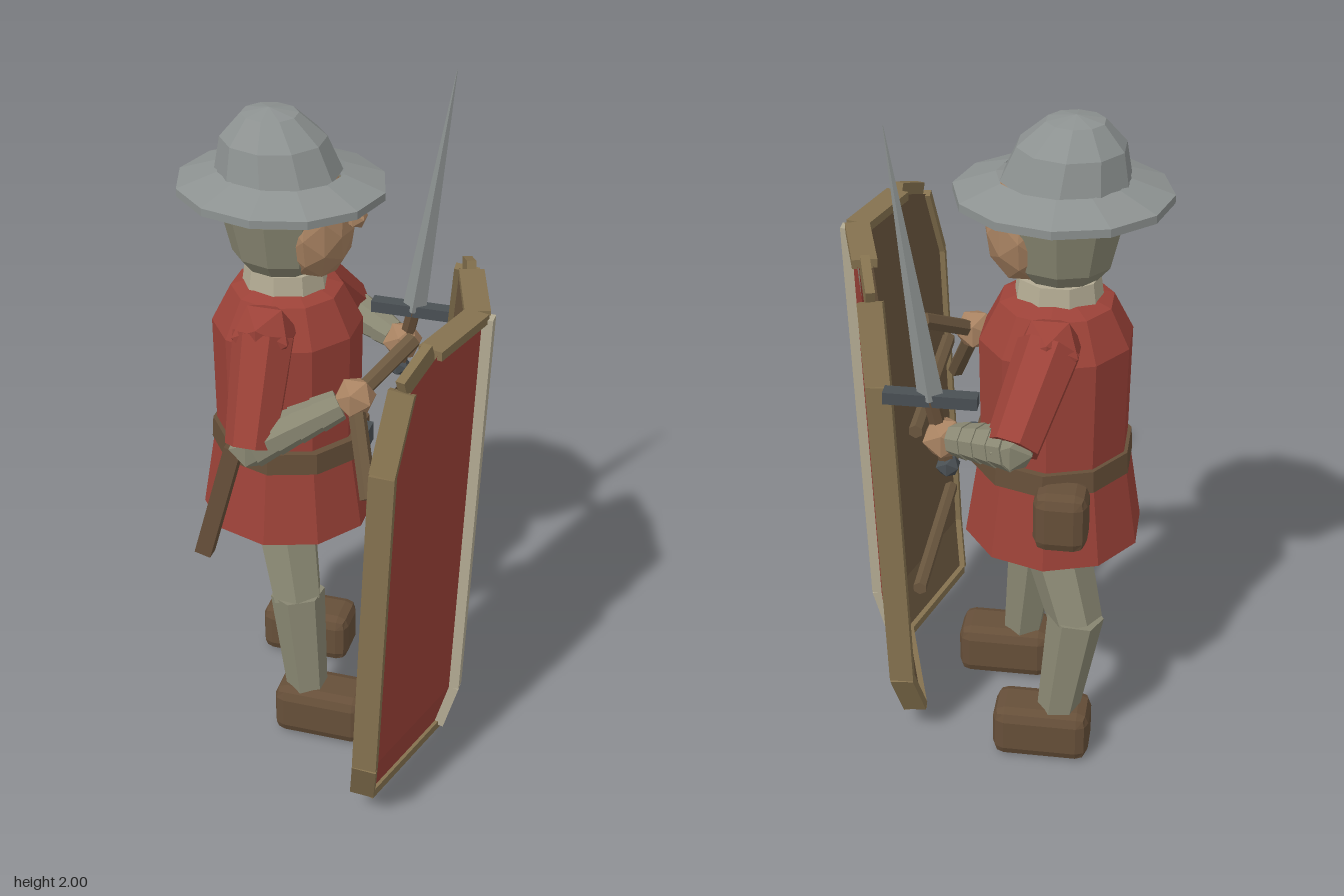
import * as THREE from 'three';
import { RoundedBoxGeometry } from 'three/addons/geometries/RoundedBoxGeometry.js';

const paint = (color) => new THREE.MeshStandardMaterial({ color, flatShading: true, side: THREE.DoubleSide });
const RED = paint(0x9c4238), CLOTH = paint(0x8a8873), SKIN = paint(0xa98362), STEEL = paint(0x8d9291),
  DARK = paint(0x4a5054), WOOD = paint(0x6b573f), RIM = paint(0x85724f), BONE = paint(0xb3ab93),
  LEATHER = paint(0x664f39);
const V = (x, y, z) => new THREE.Vector3(x, y, z);
const UP = V(0, 1, 0);

export function createModel() {
  const root = new THREE.Group();
  const add = (name, geo, mat, pos, parent = root) => {
    const m = new THREE.Mesh(geo, mat);
    m.name = name;
    if (pos) m.position.copy(pos);
    parent.add(m);
    return m;
  };
  const group = (name) => {
    const g = new THREE.Group();
    g.name = name;
    root.add(g);
    return g;
  };
  // Tapered round limb from a to b
  const limb = (name, a, b, r0, r1, mat, parent, sides = 7) => {
    const d = b.clone().sub(a);
    const m = add(name, new THREE.CylinderGeometry(r1, r0, d.length(), sides), mat, a.clone().add(b).multiplyScalar(0.5), parent);
    m.quaternion.setFromUnitVectors(UP, d.normalize());
    return m;
  };
  // Square bar from a to b
  const bar = (name, a, b, w, h, mat, parent) => {
    const m = add(name, new THREE.BoxGeometry(w, h, a.distanceTo(b)), mat, a.clone().add(b).multiplyScalar(0.5), parent);
    const flat = Math.abs(b.y - a.y) < 0.05;
    m.up.copy(flat ? UP : V(1, 0, 0));
    m.lookAt(b);
    return m;
  };
  const ball = (name, p, r, mat, parent, detail = 0) =>
    add(name, new THREE.IcosahedronGeometry(r, detail), mat, p, parent);
  // Turned body: [radius, y] from bottom to top, squashed along z
  const turned = (name, pts, sides, mat, x, z, squash, parent) => {
    const m = add(name, new THREE.LatheGeometry(pts.map((p) => new THREE.Vector2(...p)), sides), mat, V(x, 0, z), parent);
    m.scale.z = squash;
    return m;
  };

  // Tunic, belt and collar
  const body = group('body');
  turned('tunic', [[0, 0.74], [0.258, 0.69], [0.222, 0.92], [0.212, 0.98], [0.216, 1.31], [0.16, 1.42], [0.1, 1.44]],
    10, RED, -0.167, -0.085, 1, body);
  turned('belt', [[0.2, 0.92], [0.234, 0.92], [0.23, 0.985], [0.2, 0.985]], 10, LEATHER, -0.16, -0.085, 1, body);
  add('buckle', new THREE.BoxGeometry(0.03, 0.06, 0.08), DARK, V(0.066, 0.952, -0.085), body);
  turned('collar', [[0.125, 1.42], [0.115, 1.49], [0.08, 1.49]], 9, BONE, -0.17, -0.08, 0.9, body);
  add('pouch', new RoundedBoxGeometry(0.15, 0.18, 0.13, 1, 0.035), LEATHER, V(-0.215, 0.87, -0.325), body);
  bar('scabbard', V(-0.25, 1.01, 0.165), V(-0.35, 0.635, 0.175), 0.045, 0.05, LEATHER, body);

  // Head
  const head = group('head');
  turned('coif', [[0, 1.455], [0.08, 1.46], [0.14, 1.53], [0.172, 1.66], [0.17, 1.75]], 10, CLOTH, -0.178, -0.075, 0.9, head);
  ball('face', V(-0.075, 1.625, -0.075), 1, SKIN, head, 1).scale.set(0.108, 0.16, 0.13);
  ball('nose', V(0.035, 1.66, -0.075), 0.036, SKIN, head);

  // Kettle helmet with a wide brim
  const helmet = group('helmet');
  turned('brim', [[0.17, 1.75], [0.296, 1.715], [0.296, 1.738], [0.18, 1.778]], 12, STEEL, -0.178, -0.08, 0.92, helmet);
  const crown = turned('crown', [[0.178, 1.77], [0.148, 1.865], [0.08, 1.932], [0, 1.947]], 10, STEEL, -0.185, -0.08, 0.93, helmet);
  // crown leans a little to the back
  const cp = crown.geometry.attributes.position;
  for (let i = 0; i < cp.count; i++) cp.setX(i, cp.getX(i) - (cp.getY(i) - 1.77) * 0.14);

  // Arms with ribbed forearm guards
  const arm = (name, shoulder, elbow, hand) => {
    const g = group(name);
    ball('shoulder', shoulder, 0.095, RED, g);
    limb('sleeve', shoulder, elbow, 0.09, 0.075, RED, g);
    ball('elbow', elbow, 0.066, CLOTH, g);
    const ribs = 4;
    for (let i = 0; i < ribs; i++) {
      const a = elbow.clone().lerp(hand, (i / ribs) * 0.85);
      const b = elbow.clone().lerp(hand, ((i + 1) / ribs) * 0.85);
      limb('forearmRib', a, b, 0.064 - i * 0.004, 0.056 - i * 0.004, CLOTH, g, 8);
    }
    ball('hand', hand, 0.062, SKIN, g);
  };
  const shieldHand = V(0.09, 1.2, 0.11), swordHand = V(0.1, 1.125, -0.375);
  arm('shieldArm', V(-0.17, 1.36, 0.11), V(-0.17, 1.075, 0.245), shieldHand);
  arm('swordArm', V(-0.17, 1.36, -0.27), V(-0.1, 1.17, -0.475), swordHand);

  // Legs and shoes
  const leg = (name, hip, knee, ankle, footX) => {
    const g = group(name);
    limb('thigh', hip, knee, 0.1, 0.078, CLOTH, g, 6);
    limb('shin', knee.clone().add(V(0, 0.02, 0)), ankle, 0.082, 0.062, CLOTH, g, 6);
    add('shoe', new RoundedBoxGeometry(0.285, 0.165, 0.155, 1, 0.035), LEATHER, V(footX, 0.0825, ankle.z), g);
  };
  leg('forwardLeg', V(-0.16, 0.74, 0.0), V(-0.09, 0.46, 0.09), V(-0.055, 0.15, 0.112), -0.002);
  leg('backLeg', V(-0.17, 0.74, -0.17), V(-0.255, 0.46, -0.25), V(-0.21, 0.15, -0.265), -0.163);

  // Sword
  const sword = group('sword');
  const guard = V(0.135, 1.24, -0.368), tip = V(0.242, 2, -0.357);
  const blade = limb('blade', guard, tip, 0.036, 0.001, STEEL, sword, 4);
  blade.scale.z = 0.8;
  add('crossGuard', new THREE.BoxGeometry(0.255, 0.035, 0.042), DARK, guard, sword);
  limb('grip', V(0.09, 1.04, -0.375), guard, 0.022, 0.022, LEATHER, sword, 6);
  ball('pommel', V(0.09, 1.04, -0.375), 0.036, DARK, sword);

  // Shield: folded along a central ridge, lower end bent back
  const shield = group('shield');
  const midZ = 0.105;
  const rows = [[0.365, 0.097, 0.355], [0.43, 0.25, 0.398], [0.43, 1.24, 0.436], [0.36, 1.455, 0.444], [0.235, 1.505, 0.446]];
  const at = ([w, y, x], side, back = 0) => V(x - back - 0.3 * w * Math.abs(side), y, midZ + w * side);
  const panel = (name, back, mat) => {
    const pos = [], idx = [];
    rows.forEach((r, i) => {
      for (const s of [-1, 0, 1]) pos.push(...at(r, s, back).toArray());
      if (!i) return;
      for (let k = 0; k < 2; k++) {
        const a = (i - 1) * 3 + k, b = a + 1, c = a + 3, d = a + 4;
        idx.push(a, c, b, b, c, d);
      }
    });
    const geo = new THREE.BufferGeometry();
    geo.setAttribute('position', new THREE.Float32BufferAttribute(pos, 3));
    geo.setIndex(idx);
    geo.computeVertexNormals();
    add(name, geo, mat, null, shield);
  };
  panel('shieldFace', 0, RED);
  panel('shieldBack', 0.045, WOOD);

  // Rim and central rib
  const centre = (r) => at([0, r[1], r[2]], 0, 0.022);
  for (const s of [-1, 1]) {
    const path = [centre(rows[0]), ...rows.map((r) => at(r, s, 0.022)), centre(rows[4])];
    for (let i = 1; i < path.length; i++) {
      const level = i === 1 || i === path.length - 1;
      bar('shieldRim', path[i - 1], path[i], level ? 0.07 : 0.026, level ? 0.026 : 0.07, RIM, shield);
    }
  }
  const rib = rows.map((r) => at([0, r[1], r[2]], 0, -0.006));
  for (const [i, j] of [[0, 1], [1, 4]]) bar('shieldRib', rib[i], rib[j], 0.038, 0.036, BONE, shield);

  // Cross battens and the angled hand strap behind the shield
  for (const y of [1.02, 0.48]) limb('batten', V(0.215, y, -0.187), V(0.215, y, 0.372), 0.021, 0.021, WOOD, shield, 6);
  limb('strap', shieldHand, V(0.21, 1.31, -0.065), 0.025, 0.025, WOOD, shield, 6);
  limb('strap', shieldHand, V(0.175, 0.975, 0.265), 0.025, 0.025, WOOD, shield, 6);

  return root;
}
